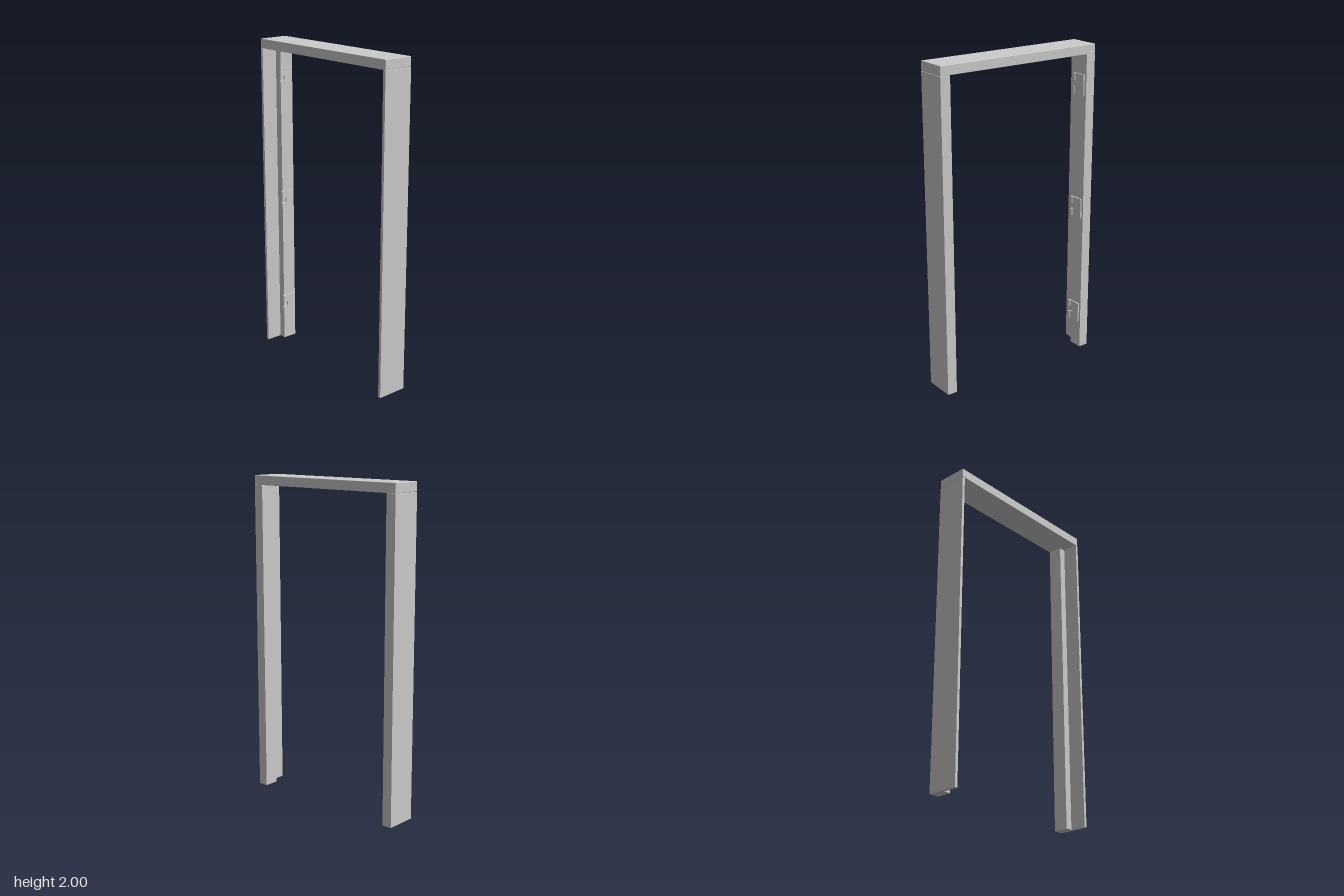
import * as THREE from 'three';
import { RoundedBoxGeometry } from 'three/addons/geometries/RoundedBoxGeometry.js';

const HALF_W = 0.55, HALF_D = 0.096, JAMB_TOP = 1.942;
const material = new THREE.MeshStandardMaterial({ color: 0xcccccc });

function addMesh(parent, name, geometry) {
  const mesh = new THREE.Mesh(geometry, material);
  mesh.name = name;
  parent.add(mesh);
  return mesh;
}

function outline(points) {
  return new THREE.Shape(points.map(([x, y]) => new THREE.Vector2(x, y)));
}

// Upright with an L section: thin full-depth board and a thick stop at the back
function jambGeometry(side) {
  const bevel = 0.002, inner = 0.487, board = 0.532, step = -0.005;
  const section = [
    [HALF_W, HALF_D], [HALF_W, -HALF_D], [inner, -HALF_D],
    [inner, step], [board, step], [board, HALF_D],
  ].map(([x, z]) => [x * side, -z]);
  const geometry = new THREE.ExtrudeGeometry(outline(section), {
    depth: JAMB_TOP - 2 * bevel, bevelSize: bevel, bevelThickness: bevel,
    bevelOffset: -bevel, bevelSegments: 1,
  });
  return geometry.rotateX(-Math.PI / 2).translate(0, bevel, 0);
}

// Hinge leaf with a notch in its front edge, plus two knuckles
function createHinge() {
  const hinge = new THREE.Group();
  const h = 0.063, front = 0.002, back = -0.082;
  const leaf = outline([
    [back, -h], [front, -h], [front, -0.018], [front - 0.03, -0.012],
    [front - 0.03, 0.012], [front, 0.018], [front, h], [back, h],
  ]);
  const geometry = new THREE.ExtrudeGeometry(leaf, { depth: 0.009, bevelEnabled: false });
  // Turn the outline so its width runs along z and its thickness along x
  geometry.rotateY(-Math.PI / 2).translate(0.009, 0, 0);
  addMesh(hinge, 'hingeLeaf', geometry);
  for (const side of [-1, 1]) {
    const knuckle = addMesh(hinge, 'hingeKnuckle', new THREE.CylinderGeometry(0.008, 0.008, 0.045, 16));
    knuckle.position.set(0.009, side * 0.0405, front);
  }
  return hinge;
}

export function createModel() {
  const model = new THREE.Group();
  model.name = 'doorFrame';

  // Header board across the top
  const headerHeight = 2 - JAMB_TOP;
  const header = addMesh(model, 'header',
    new RoundedBoxGeometry(2 * HALF_W, headerHeight, 2 * HALF_D, 2, 0.003));
  header.position.y = JAMB_TOP + headerHeight / 2;

  // Uprights
  addMesh(model, 'leftJamb', jambGeometry(1));
  addMesh(model, 'rightJamb', jambGeometry(-1));

  // Three hinges on the right jamb
  for (const y of [0.245, 0.965, 1.755]) {
    const hinge = createHinge();
    hinge.name = 'hinge';
    hinge.position.set(-0.487, y, 0);
    model.add(hinge);
  }
  return model;
}
